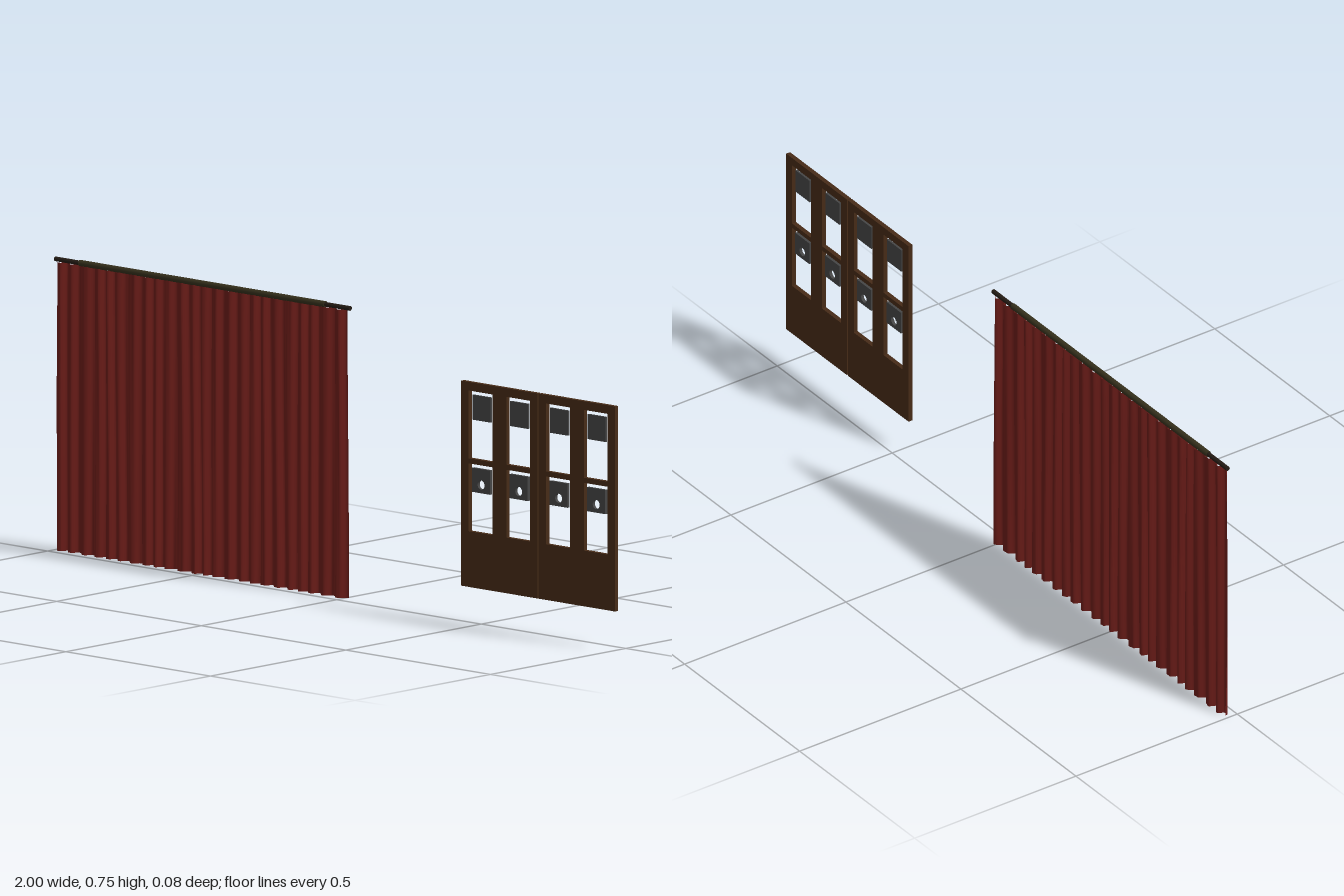
import * as THREE from 'three';

const material = (color, side = THREE.FrontSide) => new THREE.MeshStandardMaterial({ color, side });

function rect(target, x0, y0, x1, y1) {
  target.moveTo(x0, y0);
  target.lineTo(x1, y0);
  target.lineTo(x1, y1);
  target.lineTo(x0, y1);
  target.closePath();
  return target;
}

function addMesh(parent, name, geometry, mat, x = 0, y = 0, z = 0) {
  const mesh = new THREE.Mesh(geometry, mat);
  mesh.name = name;
  mesh.position.set(x, y, z);
  parent.add(mesh);
  return mesh;
}

// Hanging cloth: a sheet pushed into uneven vertical pleats
function pleatedCloth(width, height, folds, depth) {
  const g = new THREE.PlaneGeometry(width, height, folds * 14, 12);
  const p = g.attributes.position;
  for (let i = 0; i < p.count; i++) {
    const u = p.getX(i) / width + 0.5;
    const v = p.getY(i) / height + 0.5;
    const phase = u * folds * Math.PI * 2 + 0.7 * Math.sin(u * 37) + 0.35 * Math.sin(v * 3 + u * 23);
    const wave = Math.tanh(1.8 * Math.sin(phase)) / Math.tanh(1.8);
    const wrinkle = Math.sin(phase * 2.3 + v * 2);
    p.setZ(i, depth * (0.85 * wave + 0.15 * wrinkle));
  }
  g.computeVertexNormals();
  return g;
}

export function createModel() {
  const model = new THREE.Group();
  model.name = 'curtainAndDoors';
  const red = material(0x6a1c18, THREE.DoubleSide);
  const rodMetal = material(0x241c15);
  const sleeveMetal = material(0x35301c);
  const wood = material(0x462b17);
  const glass = material(0x454545);

  // Curtain on a telescopic rod
  const curtain = new THREE.Group();
  curtain.name = 'curtain';
  model.add(curtain);
  addMesh(curtain, 'cloth', pleatedCloth(0.997, 0.74, 24, 0.01), red, -0.491, 0.37, -0.029);
  const rod = new THREE.CylinderGeometry(0.006, 0.006, 1.02, 16).rotateZ(Math.PI / 2);
  addMesh(curtain, 'rod', rod, rodMetal, -0.49, 0.746, -0.029);
  const sleeve = new THREE.CylinderGeometry(0.008, 0.008, 0.85, 16).rotateZ(Math.PI / 2);
  addMesh(curtain, 'rodSleeve', sleeve, sleeveMetal, -0.49, 0.746, -0.029);

  // Pair of doors, each with two columns of windows
  const doorWidth = 0.264, bottom = 0.1, top = 0.626, thickness = 0.012;
  const windowWidth = 0.082, windowRows = [[0.243, 0.417], [0.43, 0.604]];
  const columns = [0.067, 0.197];
  const extrude = (shape, depth) =>
    new THREE.ExtrudeGeometry(shape, { depth, bevelEnabled: false, curveSegments: 10 }).translate(0, 0, -depth / 2);

  [0.468, 1 - doorWidth].forEach((x0, d) => {
    const door = new THREE.Group();
    door.name = d ? 'leftDoor' : 'rightDoor';
    door.position.set(x0, 0, 0.034);
    model.add(door);

    const leaf = rect(new THREE.Shape(), 0, bottom, doorWidth, top);
    for (const cx of columns)
      for (const [y0, y1] of windowRows)
        leaf.holes.push(rect(new THREE.Path(), cx - windowWidth / 2, y0, cx + windowWidth / 2, y1));
    addMesh(door, 'doorLeaf', extrude(leaf, thickness), wood);

    for (const cx of columns) {
      // Upper dark pane
      const pane = rect(new THREE.Shape(), -0.031, 0.53, 0.031, 0.594);
      addMesh(door, 'upperPane', extrude(pane, 0.006), glass, cx);
      // Lower dark plate with a round opening
      const plate = rect(new THREE.Shape(), -0.031, 0.345, 0.031, 0.407);
      plate.holes.push(new THREE.Path().absarc(0, 0.366, 0.012, 0, Math.PI * 2, true));
      addMesh(door, 'lowerPlate', extrude(plate, 0.008), glass, cx);
    }
  });
  return model;
}
